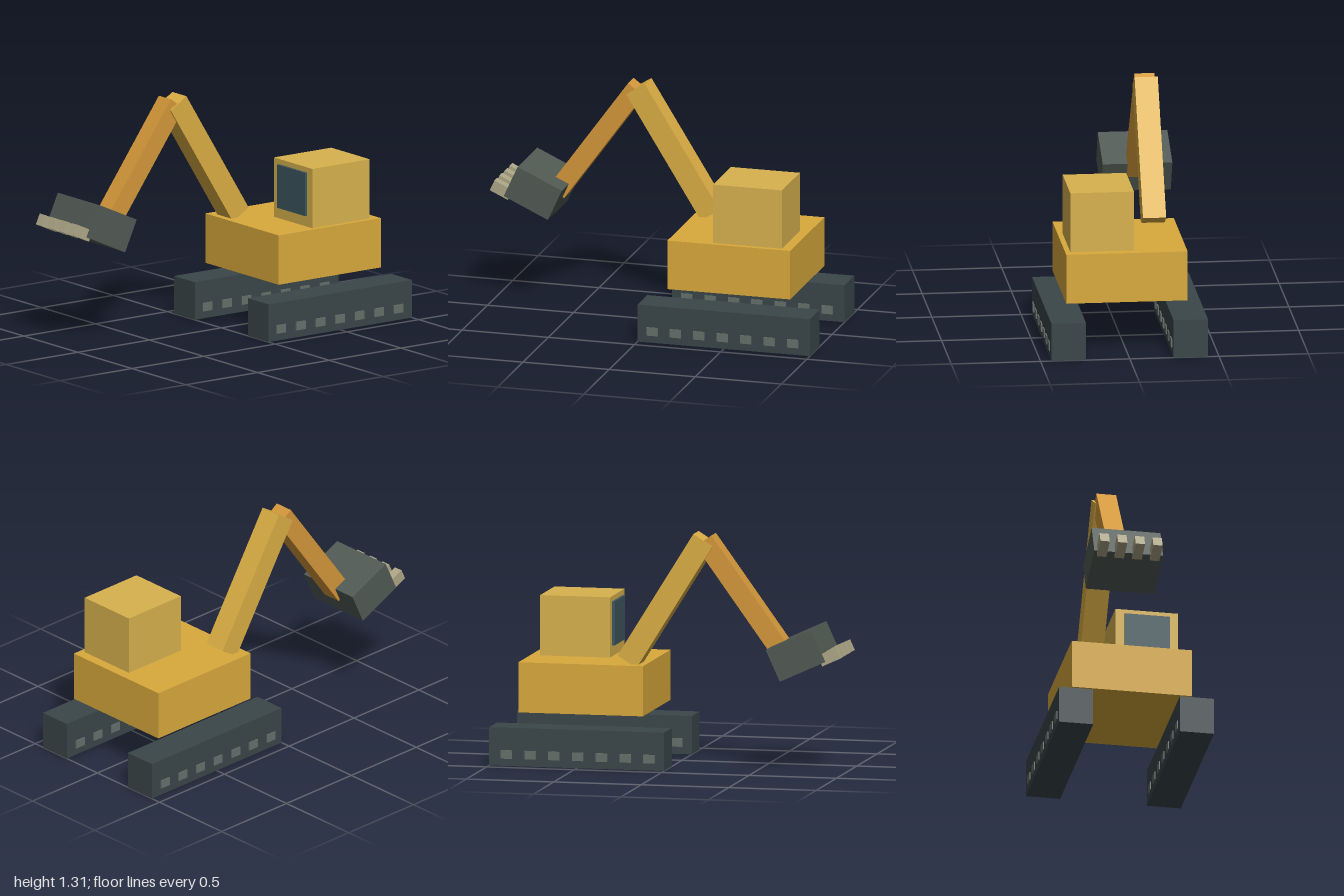
import * as THREE from 'three';

const paint = (color) => new THREE.MeshStandardMaterial({ color });
const mats = {
  body: paint(0xd9a93c),
  cab: paint(0xd8b24e),
  boom: paint(0xdcae44),
  stick: paint(0xd4983a),
  track: paint(0x3a4649),
  roller: paint(0x66706b),
  glass: paint(0x3c565e),
  bucket: paint(0x515a54),
  tooth: paint(0xaea788),
};

// Adds a named box given its size, centre and tilt about x
function addBox(parent, name, mat, size, pos, tilt = 0) {
  const mesh = new THREE.Mesh(new THREE.BoxGeometry(...size), mat);
  mesh.name = name;
  mesh.position.set(...pos);
  mesh.rotation.x = tilt;
  parent.add(mesh);
  return mesh;
}

export function createModel() {
  const model = new THREE.Group();
  model.name = 'excavator';

  // Tracks, each with seven rollers showing on both sides
  for (const side of [-1, 1]) {
    const track = new THREE.Group();
    track.name = side > 0 ? 'leftTrack' : 'rightTrack';
    track.position.x = side * 0.342;
    addBox(track, 'trackBlock', mats.track, [0.193, 0.215, 1], [0, 0.1075, -0.5]);
    for (let i = 0; i < 7; i++) {
      addBox(track, 'roller', mats.roller, [0.206, 0.048, 0.065], [0, 0.065, -0.085 - i * 0.136]);
    }
    model.add(track);
  }

  // Upper body and cab, the cab set to the left
  addBox(model, 'body', mats.body, [0.68, 0.282, 0.712], [0, 0.43, -0.5]);
  addBox(model, 'cab', mats.cab, [0.356, 0.34, 0.4], [0.133, 0.74, -0.6]);
  addBox(model, 'windscreen', mats.glass, [0.256, 0.247, 0.03], [0.134, 0.757, -0.4]);

  // Arm: boom rising forwards, stick falling to the bucket
  addBox(model, 'boom', mats.boom, [0.13, 0.82, 0.128], [-0.215, 0.933, -0.032], 0.557);
  addBox(model, 'stick', mats.stick, [0.112, 0.783, 0.11], [-0.215, 0.96, 0.4165], -0.627);

  // Tilted bucket with four teeth
  const bucket = new THREE.Group();
  bucket.name = 'bucket';
  bucket.position.set(-0.215, 0.666, 0.743);
  bucket.rotation.x = -0.43;
  addBox(bucket, 'bucketShell', mats.bucket, [0.39, 0.194, 0.282], [0, 0, 0]);
  for (let i = 0; i < 4; i++) {
    addBox(bucket, 'tooth', mats.tooth, [0.053, 0.065, 0.115], [(i - 1.5) * 0.1, -0.081, 0.171]);
  }
  model.add(bucket);

  return model;
}
